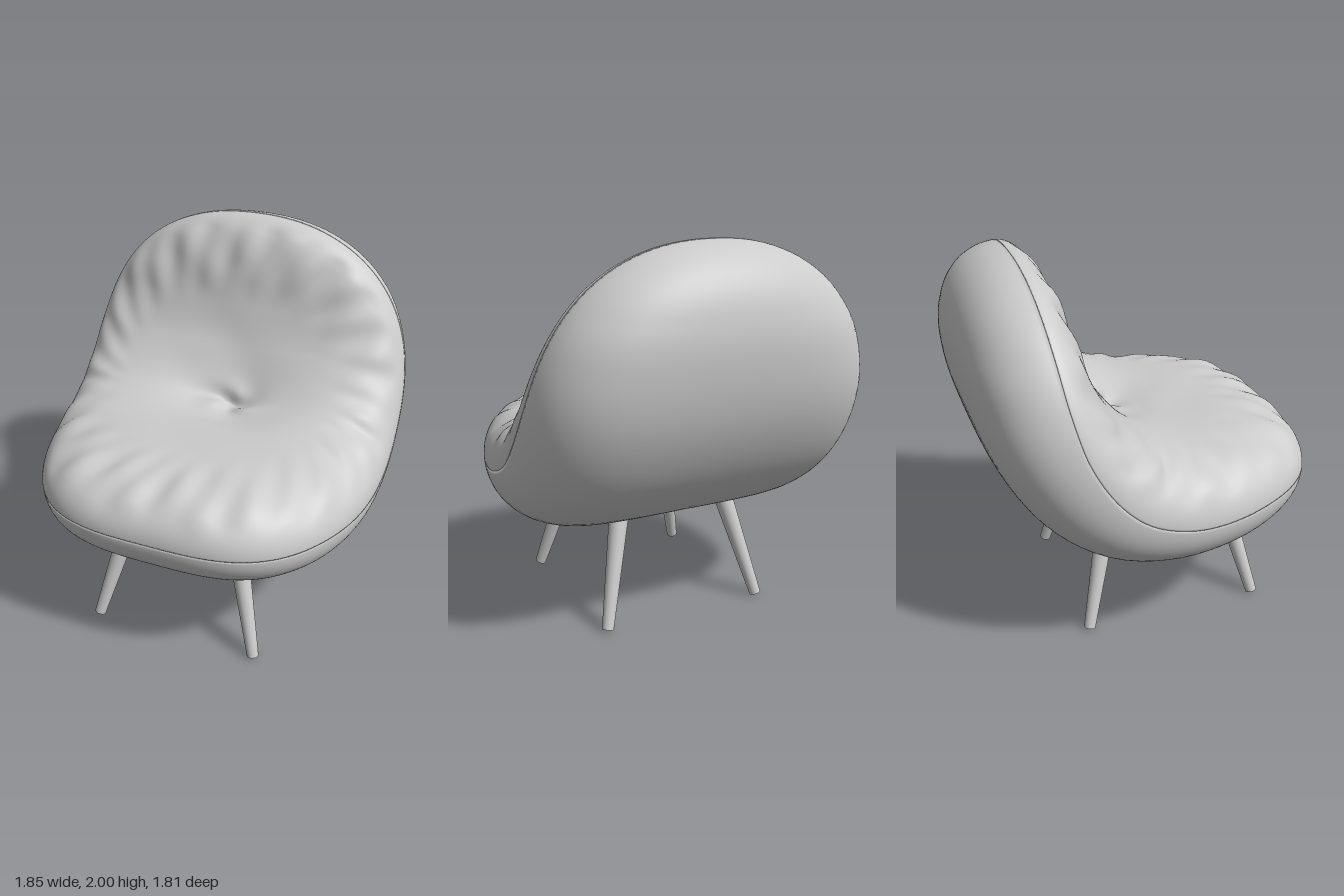
import * as THREE from 'three';

const { lerp, smoothstep } = THREE.MathUtils;
const material = new THREE.MeshStandardMaterial({ color: 0xcccccc, roughness: 0.8 });

// Side profile of the seam between shell and cushion, from front edge to top edge
const seam = new THREE.CatmullRomCurve3([
  [0.84, 0.9], [0.83, 0.6], [0.815, 0.2], [0.84, 0], [0.92, -0.2], [1.06, -0.35],
  [1.27, -0.475], [1.5, -0.54], [1.7, -0.568], [2.0, -0.595],
].map(([y, z]) => new THREE.Vector3(0, y, z)));
seam.arcLengthDivisions = 600;
const HALF_WIDTH = 0.925;
const HALF_LENGTH = seam.getLength() / 2;

// Outline of the unrolled seat: radius in direction a (0 = top edge, PI = front edge)
function outlineRadius(a) {
  const c = Math.abs(Math.cos(a)), s = Math.abs(Math.sin(a));
  const [n, m] = Math.cos(a) > 0 ? [2.9, 2.2] : [2.2, 3.3];
  let lo = 0.5, hi = 1.5;
  for (let i = 0; i < 30; i++) {
    const r = (lo + hi) / 2;
    if ((r * c) ** n + (r * s) ** m > 1) hi = r; else lo = r;
  }
  return lo;
}

// Domed surface over the seam outline: side = 1 rises to the front, -1 to the back
function dome(side, rings, segments, height) {
  const positions = [], index = [];
  const add = (r, a, lip) => {
    const R = outlineRadius(a) * r;
    const u = R * Math.sin(a), s = R * Math.cos(a);
    const t = THREE.MathUtils.clamp((s + 1) / 2, 0, 1);
    const p = seam.getPointAt(t), d = seam.getTangentAt(t);
    const h = lip ? -0.004 : height(r, u, s, t, a);
    positions.push(u * HALF_WIDTH, p.y - d.z * h * side, p.z + d.y * h * side);
  };
  add(0, 0, false);
  for (let i = 1; i <= rings + 1; i++) {
    const lip = i > rings; // last ring tucks under, into the seam
    const r = lip ? 0.95 : 1 - (1 - i / rings) ** 2;
    for (let j = 0; j < segments; j++) add(r, (j / segments) * Math.PI * 2, lip);
  }
  const tri = (a, b, c) => (side < 0 ? index.push(a, b, c) : index.push(a, c, b));
  const id = (i, j) => 1 + (i - 1) * segments + (j % segments);
  for (let j = 0; j < segments; j++) {
    tri(0, id(1, j), id(1, j + 1));
    for (let i = 1; i <= rings; i++) {
      tri(id(i, j), id(i + 1, j), id(i + 1, j + 1));
      tri(id(i, j), id(i + 1, j + 1), id(i, j + 1));
    }
  }
  const g = new THREE.BufferGeometry();
  g.setAttribute('position', new THREE.Float32BufferAttribute(positions, 3));
  g.setIndex(index);
  g.computeVertexNormals();
  return g;
}

// Smooth padded shell, thicker behind the back
function shellHeight(r, u, s, t) {
  return lerp(0.31, 0.385, smoothstep(t, 0.25, 0.6)) * Math.sqrt(1 - r ** 5);
}

// Soft cushion: thinner at the top, pulled in at the middle, wrinkled at the rim
function cushionHeight(r, u, s, t, a) {
  const base = lerp(0.285, 0.19, smoothstep(t, 0.45, 0.85)) * Math.sqrt(1 - r ** 6);
  const x = (u - 0.06) * HALF_WIDTH, l = (s + 0.02) * HALF_LENGTH;
  const q = Math.hypot(x, l);
  const dent = 0.08 * Math.exp(-((q / 0.3) ** 2)) + 0.04 * Math.exp(-((q / 0.07) ** 2));
  const swirl = 0.016 * Math.sin(3 * Math.atan2(x, l) + 14 * q)
    * smoothstep(q, 0, 0.1) * Math.exp(-((q / 0.2) ** 2));
  const rim = smoothstep(r, 0.6, 0.9) * (1 - smoothstep(r, 0.93, 1));
  const wrinkle = 0.007 * rim * (Math.sin(17 * a + 9 * r) + Math.sin(29 * a - 14 * r + 1));
  const waves = 0.004 * (1 - r) * Math.sin(13 * s + 3 * Math.sin(4 * u)) * smoothstep(q, 0.1, 0.4);
  return base - dent + swirl + wrinkle + waves;
}

// Tapered, splayed leg between two points
function makeLeg(name, top, foot) {
  const axis = top.clone().sub(foot);
  const leg = new THREE.Mesh(new THREE.CylinderGeometry(0.052, 0.031, axis.length(), 32), material);
  leg.position.copy(top).add(foot).multiplyScalar(0.5);
  leg.quaternion.setFromUnitVectors(new THREE.Vector3(0, 1, 0), axis.normalize());
  leg.name = name;
  return leg;
}

export function createModel() {
  const chair = new THREE.Group();
  chair.name = 'loungeChair';

  const shell = new THREE.Mesh(dome(-1, 48, 128, shellHeight), material);
  shell.name = 'shell';
  const cushion = new THREE.Mesh(dome(1, 80, 200, cushionHeight), material);
  cushion.name = 'cushion';
  chair.add(shell, cushion);

  const legs = new THREE.Group();
  legs.name = 'legs';
  for (const [label, x] of [['Left', 1], ['Right', -1]]) {
    legs.add(
      makeLeg(`front${label}Leg`, new THREE.Vector3(x * 0.315, 0.56, 0.465), new THREE.Vector3(x * 0.455, 0.012, 0.605)),
      makeLeg(`back${label}Leg`, new THREE.Vector3(x * 0.315, 0.58, -0.215), new THREE.Vector3(x * 0.455, 0.012, -0.36)),
    );
  }
  chair.add(legs);
  return chair;
}
